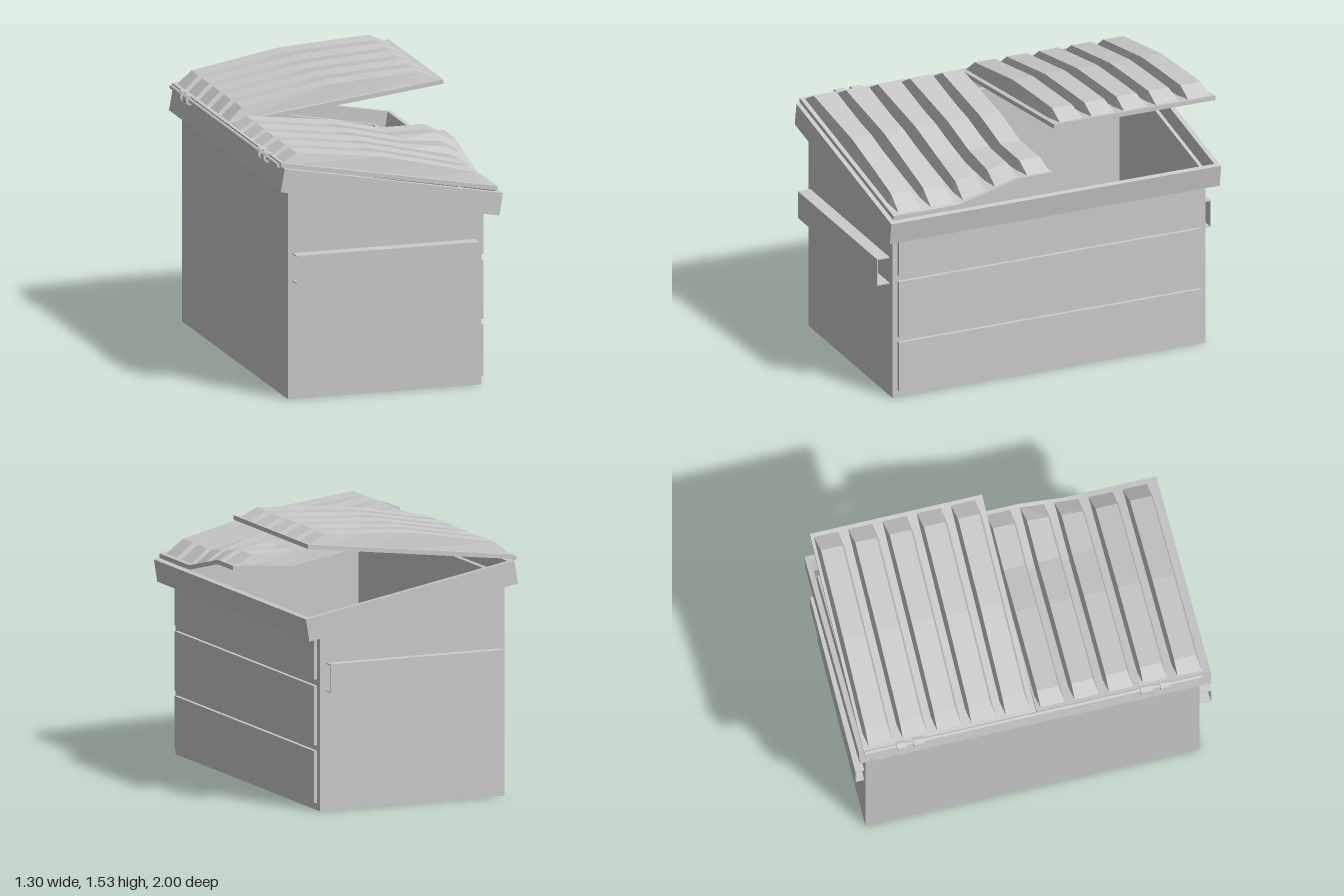
import * as THREE from 'three';

const grey = new THREE.MeshStandardMaterial({ color: 0xcccccc, flatShading: true });
const sheet = new THREE.MeshStandardMaterial({ color: 0xcccccc, flatShading: true, side: THREE.DoubleSide });

function mesh(name, geometry, parent, material = grey) {
  const m = new THREE.Mesh(geometry, material);
  m.name = name;
  parent.add(m);
  return m;
}

// Side-on outline (x, y) extruded from z0 to z1
function slab(name, points, z0, z1, parent) {
  const shape = new THREE.Shape(points.map(([x, y]) => new THREE.Vector2(x, y)));
  const geo = new THREE.ExtrudeGeometry(shape, { depth: z1 - z0, bevelEnabled: false });
  geo.translate(0, 0, z0);
  return mesh(name, geo, parent);
}

const rect = (x0, x1, y0, y1) => [[x0, y0], [x1, y0], [x1, y1], [x0, y1]];

// Height of the ribs along the lid, from hinge to free edge
const ribProfile = [[-0.62, 0], [-0.6, 0], [-0.52, 0.06], [-0.02, 0.089], [0.25, 0.074], [0.5, 0.057], [0.6, 0], [0.622, 0]];

// Ribbed sheet lid with a turned-down edge; baseY(x, z) gives the sheet's height
function lid(name, z0, z1, ribStart, baseY, parent) {
  const zs = [[z0, 0, 1], [z0, 0, 0]]; // z, rib factor, edge drop
  for (let i = 0; i < 5; i++) {
    const a = ribStart + i * 0.1925, b = a + 0.152;
    zs.push([a, 0, 0], [a + 0.016, 1, 0], [b - 0.016, 1, 0], [b, 0, 0]);
  }
  zs.push([z1, 0, 0], [z1, 0, 1]);
  const xs = ribProfile.map(([x, h]) => [x, h, 0]);
  xs.unshift([-0.62, 0, 1]);
  xs.push([0.622, 0, 1]);

  const pos = [], index = [], n = zs.length;
  xs.forEach(([x, h, dx], i) => zs.forEach(([z, t, dz], j) => {
    pos.push(x, baseY(x, z) + h * t - 0.025 * Math.max(dx, dz), z);
    if (i && j) {
      const d = i * n + j, c = d - 1, b = d - n, a = b - 1;
      index.push(a, c, b, b, c, d);
    }
  }));
  // Wind so that the upper side faces up
  for (let k = 0; k < index.length; k += 3) {
    [index[k + 1], index[k + 2]] = [index[k + 2], index[k + 1]];
  }
  const geo = new THREE.BufferGeometry();
  geo.setAttribute('position', new THREE.Float32BufferAttribute(pos, 3));
  geo.setIndex(index);
  const flat = geo.toNonIndexed();
  flat.computeVertexNormals();
  return mesh(name, flat, parent, sheet);
}

export function createModel() {
  const model = new THREE.Group();
  model.name = 'wasteContainer';

  // Open-topped body with a sloping upper edge
  const body = new THREE.Group();
  body.name = 'body';
  model.add(body);
  const xB = -0.57, xF = 0.54, zN = -0.95, zP = 0.925, t = 0.02;
  const topY = x => 1.23 - 0.184 * (x - xB);
  const side = [[xB, 0], [xF, 0], [xF, topY(xF)], [xB, topY(xB)]];
  slab('endWallRear', side, zN, zN + t, body);
  slab('endWallFront', side, zP - t, zP, body);
  slab('hingeSideWall', [[xB, 0], [xB + t, 0], [xB + t, topY(xB + t)], [xB, topY(xB)]], zN + t, zP - t, body);
  slab('loadingSideWall', [[xF - t, 0], [xF, 0], [xF, topY(xF)], [xF - t, topY(xF - t)]], zN + t, zP - t, body);
  slab('floor', rect(xB + t, xF - t, 0, t), zN + t, zP - t, body);

  // Raised panels on the loading side
  for (const [y0, y1] of [[0.04, 0.33], [0.36, 0.69], [0.725, 1.0]]) {
    slab('wallPanel', rect(xF, 0.56, y0, y1), -0.915, 0.895, body);
  }

  // Sloping skirt around the top
  const rim = new THREE.Group();
  rim.name = 'rim';
  model.add(rim);
  const rimSide = [[-0.63, 1.18], [0.625, 0.955], [0.645, 1.08], [-0.607, 1.31]];
  slab('rimEnd', rimSide, -0.997, -0.968, rim);
  slab('rimEnd', rimSide, 0.952, 0.98, rim);
  slab('rimLoadingSide', [[0.595, 0.96], [0.625, 0.955], [0.645, 1.08], [0.615, 1.085]], -0.968, 0.952, rim);
  slab('rimHingeSide', [[-0.63, 1.18], [-0.6, 1.175], [-0.577, 1.305], [-0.607, 1.31]], -0.968, 0.952, rim);

  // Lifting pockets: open-ended channels on both ends
  for (const [wall, outer] of [[zP, 1], [zN, -1]]) {
    const pocket = new THREE.Group();
    pocket.name = 'forkPocket';
    model.add(pocket);
    const z0 = Math.min(wall, outer), z1 = Math.max(wall, outer), w = 0.006;
    slab('pocketTop', rect(-0.545, 0.5, 0.82 - w, 0.82), z0, z1, pocket);
    slab('pocketBottom', rect(-0.545, 0.5, 0.662, 0.662 + w), z0, z1, pocket);
    const zo = outer > 0 ? z1 - w : z0;
    slab('pocketFace', rect(-0.545, 0.5, 0.662 + w, 0.82 - w), zo, zo + w, pocket);
  }

  // Rear lid propped up, front lid shut but bent upward at its inner corner
  lid('raisedLid', -0.972, -0.005, -0.955, x => 1.34 + 0.123 * (x + 0.6), model);
  lid('bentLid', 0, 0.957, 0.01, (x, z) => {
    const lift = THREE.MathUtils.clamp((0.57 - z) / 0.37, 0, 1);
    return 1.335 - 0.18 * (x + 0.6) + Math.max(0, x - 0.25) * 0.25 * lift;
  }, model);

  // Hinge rod with barrels and straps
  const hinge = new THREE.Group();
  hinge.name = 'hinge';
  model.add(hinge);
  const rod = (name, r, z0, z1) => {
    const geo = new THREE.CylinderGeometry(r, r, z1 - z0, 12).rotateX(Math.PI / 2);
    mesh(name, geo, hinge).position.set(-0.625, 1.318, (z0 + z1) / 2);
  };
  rod('hingeRod', 0.012, -0.97, 0.93);
  for (const [z0, z1] of [[-0.79, -0.735], [-0.695, -0.635], [0.58, 0.645], [0.69, 0.74]]) {
    rod('hingeBarrel', 0.027, z0, z1);
    slab('hingeStrap', rect(-0.625, -0.585, 1.31, 1.34), z0, z1, hinge);
  }
  return model;
}
